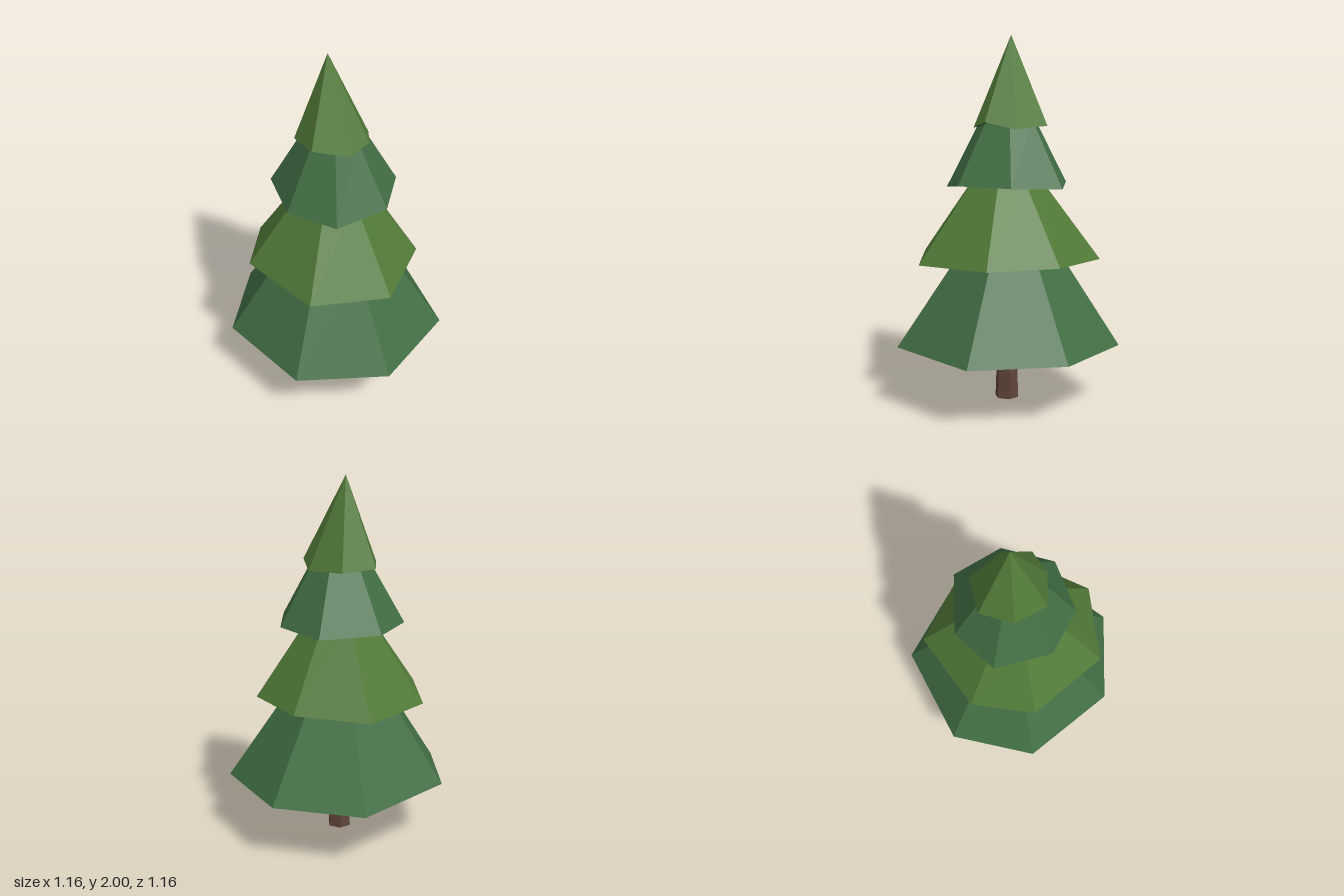
import * as THREE from 'three';

const green = new THREE.MeshStandardMaterial({ color: 0x426e44, flatShading: true });
green.name = 'pine green';
const moss = new THREE.MeshStandardMaterial({ color: 0x527a38, flatShading: true });
moss.name = 'moss green';
const brown = new THREE.MeshStandardMaterial({ color: 0x5f4438, flatShading: true });
brown.name = 'bark brown';

// One tier: an uneven ring of [x, y, z] corners, narrowed by "ratio" towards [cx, top, cz].
function foliageTier(name, material, corners, [cx, top, cz], ratio) {
  const n = corners.length;
  const upper = corners.map(([x, , z]) => [cx + (x - cx) * ratio, top, cz + (z - cz) * ratio]);
  const apex = [cx, top, cz];
  const baseY = corners.reduce((sum, c) => sum + c[1], 0) / n;
  const base = [cx, baseY, cz];
  const sides = [];
  const under = [];
  for (let i = 0; i < n; i++) {
    const j = (i + 1) % n;
    sides.push(...corners[j], ...corners[i], ...upper[i]);
    if (ratio > 0) {
      sides.push(...corners[j], ...upper[i], ...upper[j]);
      sides.push(...apex, ...upper[j], ...upper[i]);
    }
    under.push(...base, ...corners[i], ...corners[j]);
  }
  const geometry = new THREE.BufferGeometry();
  geometry.setAttribute('position', new THREE.Float32BufferAttribute([...sides, ...under], 3));
  geometry.addGroup(0, sides.length / 3, 0);
  geometry.addGroup(sides.length / 3, under.length / 3, 1);
  geometry.computeVertexNormals();
  const mesh = new THREE.Mesh(geometry, [material, green]);
  mesh.name = name;
  return mesh;
}

export function createModel() {
  const tree = new THREE.Group();
  tree.name = 'pineTree';

  // Tapered six-sided trunk
  const trunk = new THREE.Mesh(new THREE.CylinderGeometry(0.051, 0.067, 0.42, 6), brown);
  trunk.name = 'trunk';
  trunk.position.set(-0.01, 0.21, 0.017);
  tree.add(trunk);

  // Four overlapping tiers, from the ground up
  tree.add(foliageTier('bottomFoliage', green, [
    [-0.05, 0.34, -0.585], [0.485, 0.325, -0.36], [0.58, 0.325, 0.13], [0.285, 0.325, 0.56],
    [-0.27, 0.335, 0.58], [-0.585, 0.32, 0.185], [-0.475, 0.325, -0.365],
  ], [0, 0.84, 0], 0.44));

  tree.add(foliageTier('lowerFoliage', moss, [
    [-0.09, 0.775, -0.45], [0.36, 0.79, -0.335], [0.45, 0.805, 0.065], [0.25, 0.8, 0.395],
    [-0.17, 0.79, 0.505], [-0.485, 0.8, 0.21], [-0.4, 0.8, -0.27],
  ], [-0.02, 1.23, 0.02], 0.37));

  tree.add(foliageTier('upperFoliage', green, [
    [-0.145, 1.205, -0.31], [0.135, 1.2, -0.295], [0.36, 1.2, -0.04], [0.26, 1.215, 0.235],
    [-0.015, 1.215, 0.36], [-0.27, 1.18, 0.225], [-0.33, 1.2, -0.05],
  ], [0, 1.555, 0.01], 0.44));

  tree.add(foliageTier('topFoliage', moss, [
    [0.03, 1.525, -0.215], [0.19, 1.52, -0.095], [0.16, 1.51, 0.115], [0.03, 1.545, 0.21],
    [-0.095, 1.51, 0.18], [-0.22, 1.55, 0.03], [-0.145, 1.53, -0.14],
  ], [-0.015, 2, -0.02], 0));

  return tree;
}
